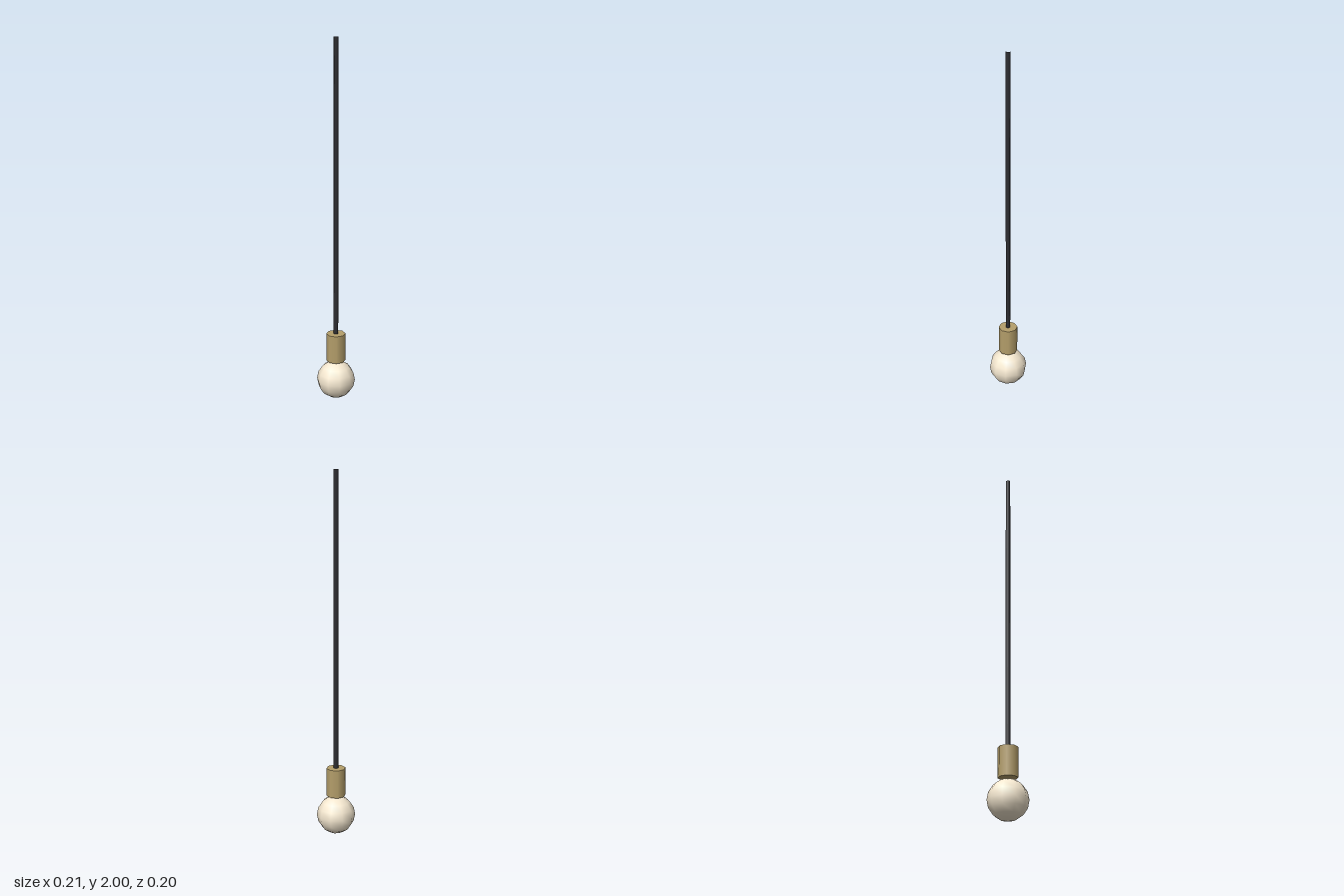
import * as THREE from 'three';

export function createModel() {
  const model = new THREE.Group();

  const add = (name, geometry, color, y) => {
    const mesh = new THREE.Mesh(geometry, new THREE.MeshStandardMaterial({ color }));
    mesh.name = name;
    mesh.position.y = y;
    model.add(mesh);
  };

  // Round bulb, resting on the ground plane
  add('bulb', new THREE.SphereGeometry(0.107, 10, 8), 0xf5e8d0, 0.107);

  // Brass socket just above the bulb
  add('socket', new THREE.CylinderGeometry(0.053, 0.053, 0.16, 8), 0xb59f6b, 0.3);

  // Long hanging cord, open at its ends
  add('cord', new THREE.CylinderGeometry(0.013, 0.013, 1.62, 6, 1, true), 0x2e2e32, 1.19);

  return model;
}
